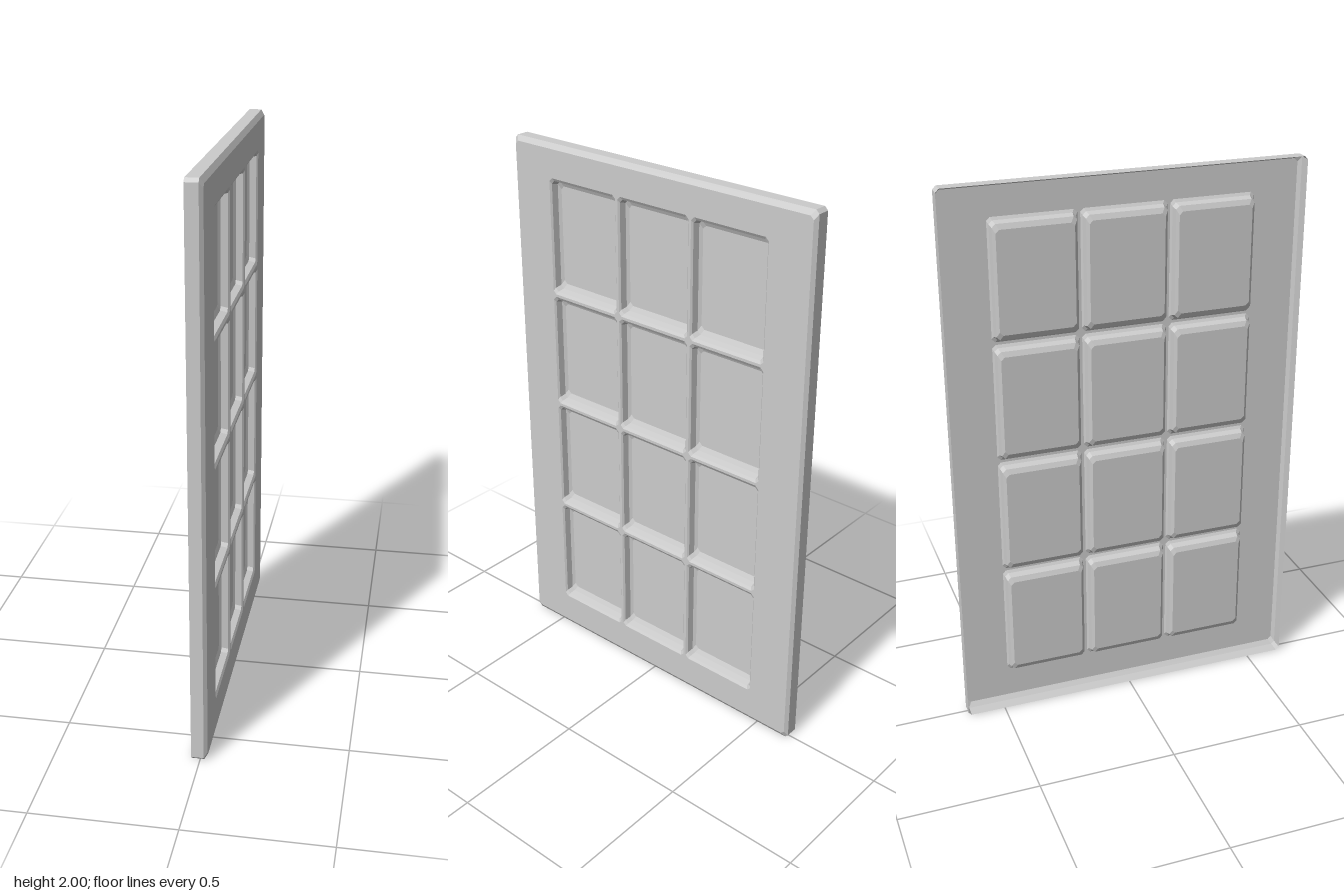
import * as THREE from 'three';

const material = new THREE.MeshStandardMaterial({ color: 0xcccccc, flatShading: true, side: THREE.DoubleSide });

// Rectangle with cut corners, counter-clockwise: [u, v] points
function cutRect(cu, cv, w, h, cut) {
  const a = w / 2, b = h / 2;
  return [
    [a - cut, -b], [a, -b + cut], [a, b - cut], [a - cut, b],
    [-a + cut, b], [-a, b - cut], [-a, -b + cut], [-a + cut, -b],
  ].map(([u, v]) => [cu + u, cv + v]);
}

// Skin between successive loops; each loop is { pts, d } with d the depth
function loft(loops, name) {
  const pos = [], index = [], n = loops[0].pts.length;
  for (const { pts, d } of loops) for (const [u, v] of pts) pos.push(u, v, d);
  for (let k = 0; k < loops.length - 1; k++) {
    for (let i = 0; i < n; i++) {
      const j = (i + 1) % n, a = k * n + i, b = k * n + j;
      index.push(a, b, b + n, a, b + n, a + n);
    }
  }
  return finish(new THREE.BufferGeometry()
    .setAttribute('position', new THREE.Float32BufferAttribute(pos, 3))
    .setIndex(index).toNonIndexed(), name);
}

function finish(geometry, name) {
  geometry.computeVertexNormals();
  const mesh = new THREE.Mesh(geometry, material);
  mesh.name = name;
  return mesh;
}

const toVectors = (pts) => pts.map(([u, v]) => new THREE.Vector2(u, v));

// Flat sheet at depth d, with optional openings
function sheet(pts, d, name, holes = []) {
  const shape = new THREE.Shape(toVectors(pts));
  for (const h of holes) shape.holes.push(new THREE.Path(toVectors(h).reverse()));
  return finish(new THREE.ShapeGeometry(shape).translate(0, 0, d), name);
}

export function createModel() {
  const model = new THREE.Group();
  model.name = 'panelledDoor';
  const door = new THREE.Group();
  door.name = 'pressedSheet';
  door.rotation.y = Math.PI / 2; // sheet faces +x
  model.add(door);

  const W = 1.28, H = 2, front = 0.026, back = -0.03;
  const cols = 3, rows = 4, openW = 0.95, openH = 1.755, openV = 1.007, gap = 0.01;
  const pitchU = openW / cols, pitchV = openH / rows;
  const holes = [];

  // Recessed panes: shallow lip, steep wall, bevel, flat floor
  const profile = [[0, 0, front], [0.006, 0.01, 0.02], [0.01, 0.016, -0.004], [0.02, 0.034, -0.012]];
  for (let r = 0; r < rows; r++) {
    for (let c = 0; c < cols; c++) {
      const u = (c - (cols - 1) / 2) * pitchU;
      const v = openV + (r - (rows - 1) / 2) * pitchV;
      const pane = new THREE.Group();
      pane.name = `pane_${r}_${c}`;
      const loops = profile.map(([iu, iv, d]) => ({
        pts: cutRect(u, v, pitchU - gap - 2 * iu, pitchV - gap - 2 * iv, 0.012), d,
      }));
      holes.push(loops[0].pts);
      pane.add(loft(loops, 'paneWall'), sheet(loops[3].pts, loops[3].d, 'paneFloor'));
      door.add(pane);
    }
  }

  // Frame face with the pane openings
  const faceEdge = cutRect(0, 1, W - 0.022, H - 0.036, 0.012);
  door.add(sheet(faceEdge, front, 'frameFace', holes));

  // Turned-back rim with a bevelled front edge, open at the back
  const rim = cutRect(0, 1, W, H, 0.012);
  door.add(loft([{ pts: rim, d: back }, { pts: rim, d: 0.014 }, { pts: faceEdge, d: front }], 'rim'));

  return model;
}
